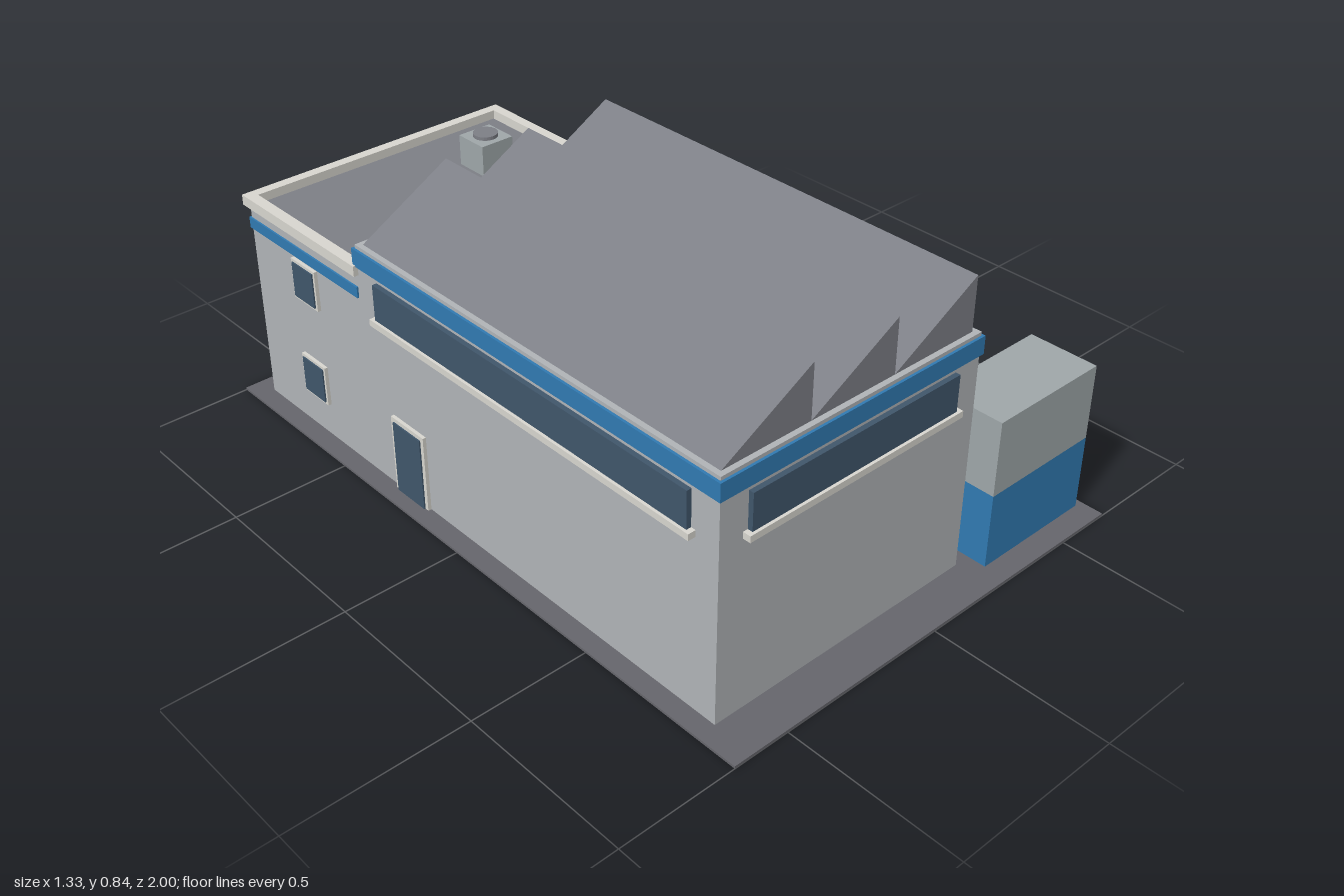
import * as THREE from 'three';

const COLORS = {
  asphalt: 0x66666c, wall: 0xb0b4b7, blue: 0x317ab2, roof: 0x7d7f86, glass: 0x40566b,
  trim: 0xd8d6cf, concrete: 0xbdb8ab, metal: 0x9fa7a9, wood: 0x8a5a3c,
};
const materials = {};
for (const key in COLORS) {
  materials[key] = new THREE.MeshStandardMaterial({ color: COLORS[key], flatShading: true });
}

// Box given by its extents: [min, max] on each axis
function box(parent, name, mat, [x0, x1], [y0, y1], [z0, z1]) {
  const mesh = new THREE.Mesh(new THREE.BoxGeometry(x1 - x0, y1 - y0, z1 - z0), materials[mat]);
  mesh.position.set((x0 + x1) / 2, (y0 + y1) / 2, (z0 + z1) / 2);
  mesh.name = name;
  parent.add(mesh);
  return mesh;
}

function section(parent, name) {
  const group = new THREE.Group();
  group.name = name;
  parent.add(group);
  return group;
}

// Group on a wall whose local +z points out of the building
function onWall(parent, name, x, z, turn) {
  const group = section(parent, name);
  group.position.set(x, 0, z);
  group.rotation.y = turn;
  return group;
}

// Framed panel standing slightly proud of the wall; rim may be left off the bottom
function opening(wall, name, mat, w, y0, y1, rim, bottomRim) {
  const h = w / 2;
  box(wall, name + 'Frame', 'trim', [-h - rim, h + rim], [y0 - bottomRim, y1 + rim], [-0.005, 0.01]);
  box(wall, name + 'Panel', mat, [-h, h], [y0, y1], [-0.004, 0.014]);
}

const RIGHT = Math.PI / 2, LEFT = -Math.PI / 2, BACK = Math.PI;
const X0 = -0.61, X1 = 0.222, GROUND = 0.007;

export function createModel() {
  const model = new THREE.Group();
  model.name = 'factory';
  box(model, 'yard', 'asphalt', [-0.665, 0.665], [0, GROUND], [-1, 1]);

  // Main hall with its blue band and flat roof cap
  const hall = section(model, 'hall');
  box(hall, 'hallWalls', 'wall', [X0, X1], [GROUND, 0.64], [-0.43, 0.88]);
  box(hall, 'hallBand', 'blue', [X0 - 0.007, X1 + 0.007], [0.63, 0.68], [-0.437, 0.887]);
  box(hall, 'hallRoofCap', 'wall', [X0, X1], [0.68, 0.69], [-0.43, 0.88]);

  // Saw-tooth roof lights: slope rising to +x, glazed vertical side
  const tooth = new THREE.Shape([[0, 0], [0.267, 0], [0.267, 0.15]].map(p => new THREE.Vector2(...p)));
  const toothGeometry = new THREE.ExtrudeGeometry(tooth, { depth: 1.28, bevelEnabled: false });
  for (let i = 0; i < 3; i++) {
    const x = -0.595 + i * 0.267;
    const mesh = new THREE.Mesh(toothGeometry, materials.roof);
    mesh.name = 'sawtoothRoof';
    mesh.position.set(x, 0.69, -0.415);
    hall.add(mesh);
    box(hall, 'sawtoothGlass', 'glass', [x + 0.262, x + 0.274], [0.702, 0.822], [-0.395, 0.845]);
  }

  // Long strip windows on the front and left walls
  const strips = [
    [onWall(hall, 'frontStripWindow', -0.193, 0.88, 0), 0.666],
    [onWall(hall, 'leftStripWindow', X0, 0.225, LEFT), 1.14],
  ];
  for (const [wall, w] of strips) {
    box(wall, 'stripGlass', 'glass', [-w / 2, w / 2], [0.512, 0.615], [-0.005, 0.014]);
    box(wall, 'stripSill', 'trim', [-w / 2 - 0.014, w / 2 + 0.014], [0.495, 0.513], [-0.005, 0.022]);
  }
  opening(onWall(hall, 'sideDoor', X0, -0.25, LEFT), 'door', 'glass', 0.115, GROUND, 0.222, 0.012, 0);

  // Two-storey office block
  const office = section(model, 'office');
  box(office, 'officeWalls', 'wall', [X0, X1], [GROUND, 0.606], [-0.937, -0.43]);
  box(office, 'officeBand', 'blue', [X0 - 0.005, X1 + 0.005], [0.535, 0.567], [-0.942, -0.432]);
  box(office, 'officeRoof', 'roof', [-0.582, 0.198], [0.604, 0.613], [-0.912, -0.458]);

  // Parapet ring
  const ring = new THREE.Shape();
  const rect = (path, x0, x1, z0, z1) =>
    path.moveTo(x0, z0).lineTo(x1, z0).lineTo(x1, z1).lineTo(x0, z1).closePath();
  rect(ring, -0.624, 0.236, -0.95, -0.425);
  const hole = new THREE.Path();
  rect(hole, -0.592, 0.206, -0.92, -0.455);
  ring.holes.push(hole);
  const parapetGeometry = new THREE.ExtrudeGeometry(ring, { depth: 0.03, bevelEnabled: false });
  parapetGeometry.rotateX(Math.PI / 2);
  const parapet = new THREE.Mesh(parapetGeometry, materials.trim);
  parapet.name = 'parapet';
  parapet.position.y = 0.634;
  office.add(parapet);

  // Office windows: two floors, four bays at the back, one on each side
  const backBays = [-0.506, -0.298, -0.09, 0.118];
  for (const [floor, y] of [0.12, 0.417].entries()) {
    const spots = [[X1, -0.682, RIGHT], [X0, -0.682, LEFT]];
    backBays.forEach((x, i) => { if (floor || i > 1) spots.push([x, -0.937, BACK]); });
    for (const [x, z, turn] of spots) {
      opening(onWall(office, 'officeWindow', x, z, turn), 'window', 'glass', 0.094, y, y + 0.103, 0.008, 0.008);
    }
  }
  opening(onWall(office, 'backDoor', -0.402, -0.937, BACK), 'door', 'glass', 0.115, GROUND, 0.222, 0.012, 0);

  // Rooftop ventilation unit
  box(office, 'ventBox', 'metal', [-0.053, 0.051], [0.61, 0.702], [-0.737, -0.633]);
  const fan = new THREE.Mesh(new THREE.CylinderGeometry(0.035, 0.035, 0.012, 24), materials.roof);
  fan.name = 'ventFan';
  fan.position.set(0, 0.706, -0.687);
  office.add(fan);

  // Loading dock with two shutters and blue dock plates
  const dock = section(model, 'loadingDock');
  box(dock, 'platform', 'concrete', [X1, 0.36], [GROUND, 0.107], [-0.29, 0.622]);
  for (const z of [0.396, -0.062]) {
    opening(onWall(dock, 'dockDoor', X1, z, RIGHT), 'shutter', 'metal', 0.255, 0.107, 0.376, 0.013, 0);
    box(dock, 'dockPlate', 'blue', [0.327, 0.362], [0.1, 0.13], [z - 0.125, z + 0.125]);
  }

  // Painted bay lines
  for (const z of [-0.295, 0.163, 0.622]) {
    box(model, 'bayLine', 'trim', [0.38, 0.663], [0.004, 0.009], [z - 0.014, z + 0.014]);
  }

  // Storage container in two colours
  const container = section(model, 'container');
  box(container, 'containerBase', 'blue', [0.27, 0.642], [GROUND, 0.223], [0.732, 0.933]);
  box(container, 'containerTop', 'metal', [0.27, 0.642], [0.223, 0.44], [0.732, 0.933]);

  // Crates on pallets
  ['blue', 'metal', 'trim'].forEach((mat, i) => {
    const x = 0.333 + i * 0.123, z = -0.876;
    box(model, 'pallet', 'wood', [x - 0.052, x + 0.052], [GROUND, 0.024], [z - 0.052, z + 0.052]);
    box(model, 'crate', mat, [x - 0.042, x + 0.042], [0.024, 0.108], [z - 0.042, z + 0.042]);
  });

  return model;
}
